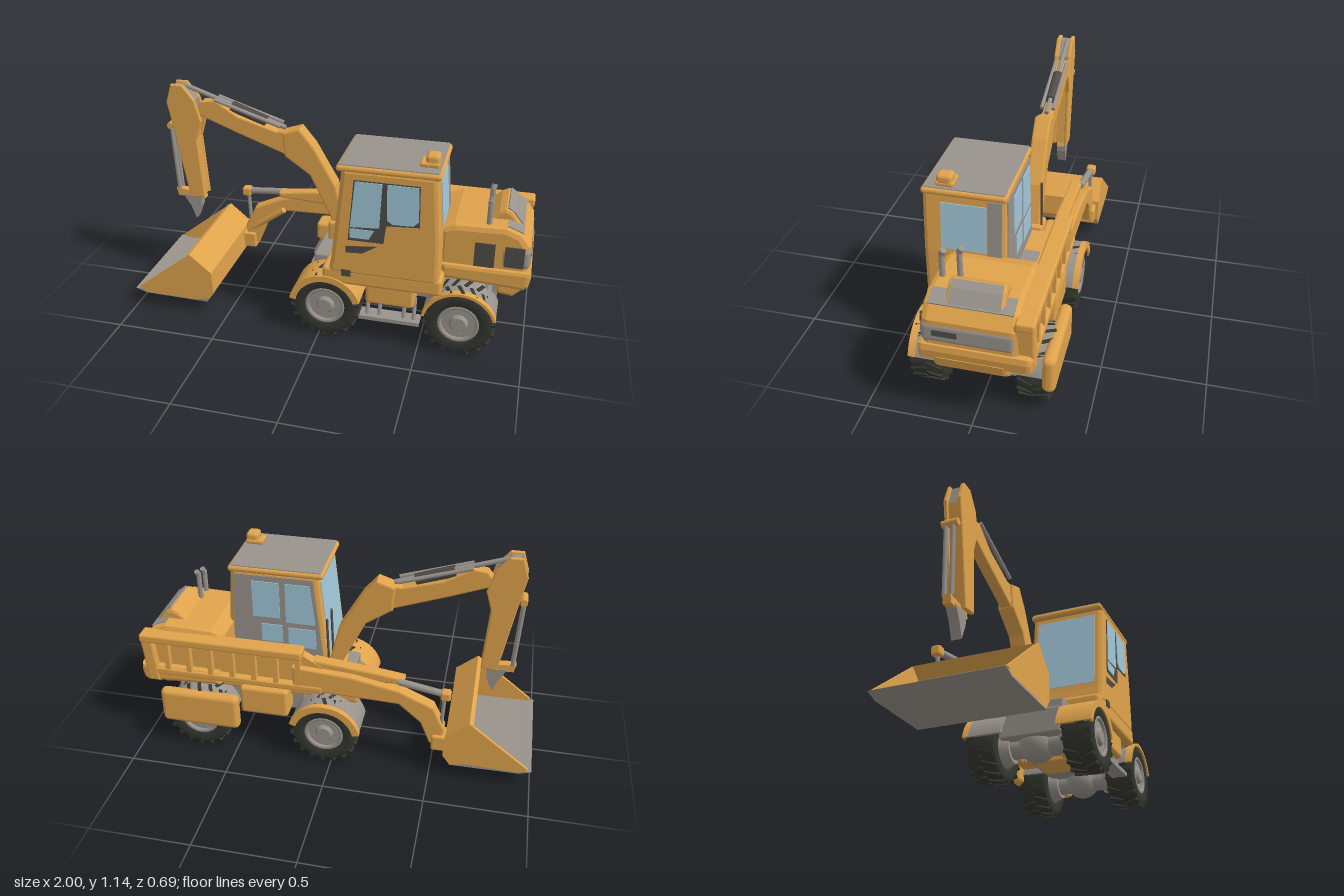
import * as THREE from 'three';
import { RoundedBoxGeometry } from 'three/addons/geometries/RoundedBoxGeometry.js';

const mat = (name, color) => Object.assign(new THREE.MeshStandardMaterial({ color }), { name });

export function createModel() {
  const root = new THREE.Group();
  root.name = 'diggingMachine';
  const paint = mat('yellowOrangePaint', 0xe0a34c);
  const grey = mat('greyMetal', 0x99938c);
  const glass = mat('paleBlueGlass', 0xa2c8da);
  const rubber = mat('tyreRubber', 0x34362f);
  const dark = mat('darkMetal', 0x504d47);

  const add = (name, geo, m, parent = root) => {
    const mesh = new THREE.Mesh(geo, m);
    mesh.name = name;
    parent.add(mesh);
    return mesh;
  };
  // Box given by its limits, with rounded edges when r > 0
  const box = (name, m, x0, x1, y0, y1, z0, z1, r = 0) => {
    const s = [x1 - x0, y1 - y0, z1 - z0];
    const geo = r ? new RoundedBoxGeometry(...s, 2, r) : new THREE.BoxGeometry(...s);
    add(name, geo, m).position.set((x0 + x1) / 2, (y0 + y1) / 2, (z0 + z1) / 2);
  };
  // Shape in x and y, extruded from z0 to z1
  const extrude = (name, m, shape, z0, z1, bevel = 0) => {
    const geo = new THREE.ExtrudeGeometry(shape, {
      depth: z1 - z0 - 2 * bevel, bevelEnabled: bevel > 0, bevelSize: bevel,
      bevelThickness: bevel, bevelOffset: -bevel, bevelSegments: 2, curveSegments: 16,
    });
    geo.translate(0, 0, z0 + bevel);
    add(name, geo, m);
  };
  const prism = (name, m, pts, z0, z1, bevel) =>
    extrude(name, m, new THREE.Shape(pts.map(p => new THREE.Vector2(...p))), z0, z1, bevel);
  // Round bar between two points
  const rod = (name, m, a, b, r) => {
    const p = new THREE.Vector3(...a), q = new THREE.Vector3(...b);
    const mesh = add(name, new THREE.CylinderGeometry(r, r, p.distanceTo(q), 10), m);
    mesh.position.copy(p).lerp(q, 0.5);
    mesh.quaternion.setFromUnitVectors(new THREE.Vector3(0, 1, 0), q.sub(p).normalize());
  };

  // Wheels with tread lugs and grey hubs
  const tyreProfile = [[0.09, -0.055], [0.1, -0.072], [0.142, -0.076], [0.162, -0.066], [0.167, 0],
    [0.162, 0.066], [0.142, 0.076], [0.1, 0.072], [0.09, 0.055]].map(p => new THREE.Vector2(...p));
  const wheel = (x, z) => {
    const g = new THREE.Group();
    g.name = 'wheel';
    g.position.set(x, 0.174, z);
    if (z < 0) g.rotation.y = Math.PI;
    root.add(g);
    add('tyre', new THREE.LatheGeometry(tyreProfile, 32), rubber, g).rotation.x = Math.PI / 2;
    for (let i = 0; i < 36; i++) {
      const a = (i / 36) * Math.PI * 2, side = i % 2 ? 1 : -1;
      const lug = add('treadLug', new THREE.BoxGeometry(0.018, 0.022, 0.075), rubber, g);
      lug.position.set(Math.cos(a) * 0.162, Math.sin(a) * 0.162, side * 0.036);
      lug.rotation.set(0, side * 0.4, a - Math.PI / 2, 'ZYX');
    }
    add('rim', new THREE.CylinderGeometry(0.098, 0.098, 0.118, 24), grey, g).rotation.x = Math.PI / 2;
    const ring = add('rimEdge', new THREE.TorusGeometry(0.092, 0.012, 8, 24), grey, g);
    ring.position.z = 0.062;
    const cap = add('hub', new THREE.CylinderGeometry(0.035, 0.05, 0.02, 12), grey, g);
    cap.rotation.x = Math.PI / 2;
    cap.position.z = 0.066;
    // Brake drum on the inner side
    const drum = add('brakeDrum', new THREE.CylinderGeometry(0.1, 0.075, 0.06, 20), grey, g);
    drum.rotation.x = Math.PI / 2;
    drum.position.z = -0.085;
  };
  // Arched mudguards
  const fender = (name, m, x, z0, z1, inner, outer) => {
    const s = new THREE.Shape();
    s.absarc(x, 0.165, outer, 0.3, 2.95, false);
    s.absarc(x, 0.165, inner, 2.95, 0.3, true);
    extrude(name, m, s, z0, z1);
  };
  for (const x of [0.035, 0.69]) {
    wheel(x, 0.255);
    wheel(x, -0.24);
    rod('axle', grey, [x, 0.17, -0.2], [x, 0.17, 0.2], 0.055);
    add('differential', new THREE.SphereGeometry(0.095, 16, 12), grey).position.set(x, 0.18, 0);
    for (const s of [1, -1]) {
      box('axleBracket', paint, x + 0.03, x + 0.09, 0.12, 0.2, s * 0.13 - 0.025, s * 0.13 + 0.025, 0.01);
      rod('steeringRod', grey, [x + 0.08, 0.14, s * 0.1], [x + 0.08, 0.14, s * 0.22], 0.015);
      rod('axleStrut', grey, [x + 0.12, 0.24, s * 0.24], [x + 0.12, 0.31, s * 0.16], 0.018);
    }
  }
  fender('frontFender', paint, 0.035, 0.16, 0.335, 0.168, 0.182);
  fender('frontFenderLip', paint, 0.035, 0.325, 0.338, 0.15, 0.182);
  fender('frontFender', grey, 0.035, -0.3, -0.12, 0.168, 0.182);
  fender('frontFenderLip', paint, 0.035, -0.325, -0.295, 0.15, 0.185);
  fender('rearFender', grey, 0.69, 0.15, 0.305, 0.168, 0.18);
  fender('rearFenderLip', paint, 0.69, 0.3, 0.335, 0.168, 0.182);
  fender('rearFender', grey, 0.69, -0.3, -0.15, 0.168, 0.18);
  box('rearWheelCover', paint, 0.47, 0.88, 0.15, 0.345, -0.348, -0.285, 0.028);

  // Chassis and steps
  box('chassis', grey, -0.08, 0.85, 0.19, 0.32, -0.16, 0.16, 0.01);
  box('frontDeck', grey, -0.06, 0.1, 0.28, 0.37, -0.12, 0.17, 0.01);
  box('frontDeckCover', paint, -0.12, 0.1, 0.3, 0.4, -0.2, -0.09, 0.02);
  box('bellyPan', paint, 0.26, 0.46, 0.165, 0.21, -0.12, 0.12, 0.01);
  box('sideTank', paint, 0.23, 0.47, 0.2, 0.32, 0.15, 0.3, 0.02);
  box('sideTank', paint, 0.23, 0.48, 0.21, 0.37, -0.27, -0.15, 0.02);
  box('step', grey, 0.2, 0.5, 0.115, 0.135, 0.23, 0.31);
  for (const x of [0.24, 0.3, 0.42, 0.47]) rod('stepHanger', grey, [x, 0.125, 0.28], [x, 0.24, 0.25], 0.01);
  box('sill', paint, 0.02, 0.6, 0.31, 0.4, -0.2, 0.33, 0.02);
  box('sideDeck', paint, 0.06, 0.6, 0.36, 0.45, -0.2, -0.04, 0.02);
  box('deckPlate', grey, 0.26, 0.47, 0.445, 0.455, -0.14, -0.06);

  // Cab
  prism('cabBody', paint, [[0.05, 0.37], [0.585, 0.37], [0.58, 0.62], [0.555, 0.925], [0.115, 0.925], [0.065, 0.45]],
    -0.055, 0.332, 0.022);
  box('roofRim', paint, 0.088, 0.572, 0.905, 0.938, -0.06, 0.333, 0.016);
  box('roofPanel', grey, 0.1, 0.56, 0.934, 0.943, -0.05, 0.322, 0.004);
  box('beaconBase', paint, 0.46, 0.55, 0.94, 0.965, 0.185, 0.27, 0.01);
  box('beacon', paint, 0.485, 0.55, 0.95, 1.0, 0.19, 0.265, 0.018);
  prism('doorFrame', dark, [[0.15, 0.565], [0.32, 0.565], [0.33, 0.66], [0.485, 0.67], [0.48, 0.875], [0.175, 0.875]], 0.33, 0.335);
  prism('doorWindow', glass, [[0.16, 0.635], [0.298, 0.645], [0.308, 0.87], [0.182, 0.87]], 0.333, 0.338);
  prism('doorLowerWindow', glass, [[0.16, 0.58], [0.25, 0.58], [0.275, 0.628], [0.159, 0.628]], 0.333, 0.338);
  prism('sideWindow', glass, [[0.335, 0.69], [0.36, 0.672], [0.455, 0.675], [0.48, 0.7], [0.475, 0.87], [0.33, 0.87]], 0.333, 0.338);
  prism('doorVent', dark, [[0.14, 0.495], [0.22, 0.5], [0.29, 0.545], [0.14, 0.53]], 0.33, 0.334);
  box('doorHandle', dark, 0.12, 0.165, 0.365, 0.4, 0.329, 0.336);
  // Windscreen and rear window follow the sloping walls
  prism('windscreen', glass, [[0.065, 0.48], [0.075, 0.48], [0.116, 0.88], [0.106, 0.88]], -0.02, 0.29);
  prism('rearWindow', glass, [[0.575, 0.64], [0.583, 0.64], [0.564, 0.87], [0.555, 0.87]], 0.035, 0.245);
  prism('rearPillar', grey, [[0.576, 0.62], [0.584, 0.62], [0.561, 0.9], [0.553, 0.9]], -0.036, 0.03);
  // Far side of the cab: grey wall with two columns of windows
  prism('farWall', grey, [[0.09, 0.45], [0.56, 0.45], [0.54, 0.9], [0.14, 0.9]], -0.059, -0.053);
  prism('farFrontWindow', glass, [[0.13, 0.65], [0.28, 0.65], [0.28, 0.87], [0.155, 0.87]], -0.063, -0.057);
  prism('farRearWindow', glass, [[0.31, 0.67], [0.45, 0.67], [0.45, 0.87], [0.31, 0.87]], -0.063, -0.057);
  prism('farFrontLowerWindow', glass, [[0.125, 0.51], [0.27, 0.51], [0.27, 0.62], [0.13, 0.62]], -0.063, -0.057);
  prism('farRearLowerWindow', glass, [[0.3, 0.53], [0.41, 0.53], [0.41, 0.63], [0.3, 0.63]], -0.063, -0.057);

  // Engine housing, counterweight, vents and exhausts
  prism('engineHood', paint, [[0.56, 0.4], [0.985, 0.4], [0.985, 0.565], [0.94, 0.625], [0.87, 0.652], [0.63, 0.645], [0.56, 0.62]],
    -0.215, 0.212, 0.03);
  prism('counterweight', paint, [[0.58, 0.36], [0.97, 0.34], [0.992, 0.36], [1, 0.41], [0.995, 0.44], [0.58, 0.44]], -0.27, 0.23, 0.02);
  prism('rearBumper', paint, [[0.84, 0.27], [0.925, 0.26], [0.985, 0.32], [0.998, 0.375], [0.84, 0.375]], -0.165, 0.165, 0.02);
  box('rearGrille', grey, 0.85, 0.99, 0.445, 0.555, -0.2, 0.217, 0.028);
  box('rearGrilleSlots', dark, 0.985, 0.992, 0.49, 0.52, 0.05, 0.16);
  box('sideGrille', dark, 0.87, 0.96, 0.455, 0.56, 0.21, 0.219);
  box('sideVent', dark, 0.73, 0.825, 0.44, 0.565, 0.208, 0.216);
  // Raised air cleaner with a grey rear slope
  prism('airCleaner', paint, [[0.76, 0.63], [0.94, 0.62], [0.885, 0.69], [0.855, 0.705], [0.825, 0.69]], -0.14, 0.115, 0.018);
  prism('airCleanerSlope', grey, [[0.947, 0.62], [0.897, 0.685], [0.865, 0.708], [0.86, 0.7], [0.88, 0.685], [0.93, 0.62]], -0.125, 0.1);
  prism('hoodSlope', grey, [[0.87, 0.645], [0.945, 0.62], [0.947, 0.626], [0.872, 0.656]], -0.185, 0.185);
  for (const [z, top] of [[0.17, 0.77], [0.09, 0.795]]) {
    rod('exhaustPipe', grey, [0.785, 0.58, z], [0.785, top, z], 0.013);
    rod('exhaustTip', grey, [0.785, top - 0.01, z], [0.79, top + 0.015, z - 0.012], 0.014);
  }

  // Digging boom with its ram
  box('boomPost', paint, -0.03, 0.08, 0.3, 0.47, -0.11, 0.01, 0.015);
  prism('lowerBoom', paint, [[0.03, 0.36], [0.07, 0.4], [0.005, 0.67], [-0.11, 0.87], [-0.18, 0.955], [-0.27, 0.925],
    [-0.26, 0.8], [-0.13, 0.71], [-0.02, 0.48]], -0.092, -0.008, 0.01);
  prism('upperBoom', paint, [[-0.2, 0.94], [-0.3, 0.925], [-0.5, 0.985], [-0.62, 1.06], [-0.69, 1.05], [-0.73, 1.0], [-0.7, 0.97], [-0.52, 0.9],
    [-0.26, 0.805], [-0.2, 0.82]], -0.078, -0.02, 0.008);
  rod('boomRam', dark, [-0.54, 1.03, -0.05], [-0.36, 0.965, -0.05], 0.028);
  rod('boomRamRod', grey, [-0.8, 1.125, -0.05], [-0.26, 0.94, -0.05], 0.012);
  for (const z of [-0.02, -0.08]) rod('boomPipe', grey, [-0.62, 1.065, z], [-0.28, 0.955, z], 0.01);
  for (const z of [0.0, -0.1]) rod('boomHose', dark, [0.05, 0.42, z], [0.06, 0.72, z], 0.006);

  // Dipper stick: two cheek plates at the top and a grey web between them
  const stick = [[-0.87, 1.04], [-0.84, 0.88], [-0.81, 0.7], [-0.78, 0.52], [-0.7, 0.53], [-0.72, 0.85],
    [-0.69, 0.95], [-0.72, 1.06], [-0.78, 1.135], [-0.84, 1.135]];
  prism('stickCheek', paint, stick, -0.082, -0.062, 0.006);
  prism('stickCheek', paint, stick, -0.015, 0.008, 0.006);
  prism('stickCore', paint, [[-0.855, 1.03], [-0.775, 0.53], [-0.705, 0.535], [-0.725, 0.85], [-0.72, 0.94]], -0.065, -0.01);
  prism('stickWeb', grey, [[-0.855, 1.03], [-0.72, 0.94], [-0.725, 1.055], [-0.785, 1.125], [-0.83, 1.125]], -0.065, -0.01);
  for (const z of [-0.06, -0.025]) rod('toolRam', grey, [-0.868, 0.92, z], [-0.852, 0.55, z], 0.011);
  rod('ramPin', paint, [-0.865, 0.91, -0.08], [-0.865, 0.91, 0], 0.018);
  prism('toolLink', paint, [[-0.87, 0.55], [-0.86, 0.51], [-0.71, 0.505], [-0.72, 0.54]], -0.06, -0.02);
  prism('toolClaw', grey, [[-0.83, 0.52], [-0.79, 0.455], [-0.765, 0.385], [-0.735, 0.46], [-0.73, 0.52]], -0.065, -0.015);

  // Front bucket
  prism('bucketBack', paint, [[-0.6, 0.078], [-0.565, 0.13], [-0.57, 0.25], [-0.68, 0.345], [-0.7, 0.335], [-0.59, 0.24],
    [-0.58, 0.135], [-0.61, 0.092]], -0.295, 0.295);
  prism('bucketLining', grey, [[-0.612, 0.09], [-0.578, 0.135], [-0.588, 0.24], [-0.645, 0.288], [-0.65, 0.284], [-0.594, 0.236],
    [-0.585, 0.138], [-0.618, 0.095]], -0.286, 0.286);
  prism('bucketFloor', grey, [[-1, 0.1], [-0.94, 0.08], [-0.6, 0.076], [-0.59, 0.095], [-0.94, 0.098]], -0.3, 0.3);
  for (const z of [-0.3, 0.285]) {
    prism('bucketSide', paint, [[-0.98, 0.11], [-0.94, 0.084], [-0.6, 0.08], [-0.563, 0.13], [-0.568, 0.25], [-0.68, 0.345]], z, z + 0.015);
  }

  // Bucket arm, linkage and ribbed side frame on the far side
  prism('bucketArm', paint, [[-0.55, 0.17], [-0.49, 0.17], [-0.44, 0.29], [-0.33, 0.385], [0.2, 0.4], [0.2, 0.53], [-0.1, 0.51],
    [-0.33, 0.465], [-0.5, 0.39], [-0.56, 0.27]], -0.27, -0.205, 0.01);
  box('bucketBracket', paint, -0.58, -0.5, 0.14, 0.23, -0.285, -0.19, 0.012);
  rod('bucketRam', paint, [-0.53, 0.25, -0.22], [-0.33, 0.4, -0.19], 0.016);
  rod('tiltRam', grey, [-0.57, 0.465, -0.25], [-0.32, 0.495, -0.23], 0.018);
  box('tiltRamEnd', paint, -0.58, -0.53, 0.44, 0.49, -0.275, -0.225, 0.012);
  rod('tiltLink', grey, [-0.55, 0.46, -0.25], [-0.54, 0.22, -0.25], 0.01);
  prism('tiltArm', paint, [[-0.35, 0.48], [-0.12, 0.47], [0.1, 0.47], [0.1, 0.56], [-0.2, 0.53], [-0.35, 0.51]], -0.235, -0.175, 0.01);
  prism('sideFramePanel', paint, [[0.06, 0.4], [0.96, 0.4], [0.98, 0.6], [0.2, 0.61], [0.06, 0.53]], -0.24, -0.19);
  box('sideFrameTopRail', paint, 0.15, 0.985, 0.575, 0.62, -0.28, -0.195, 0.012);
  box('sideFrameBottomRail', paint, 0.05, 0.975, 0.39, 0.43, -0.275, -0.195, 0.012);
  prism('sideFrameEnd', paint, [[0.9, 0.35], [0.96, 0.35], [0.982, 0.6], [0.92, 0.6]], -0.277, -0.19, 0.01);
  for (let i = 0; i < 7; i++) {
    const x = 0.16 + i * 0.113;
    box('sideFrameRib', paint, x, x + 0.025, 0.41, 0.6, -0.272, -0.23);
  }
  return root;
}
